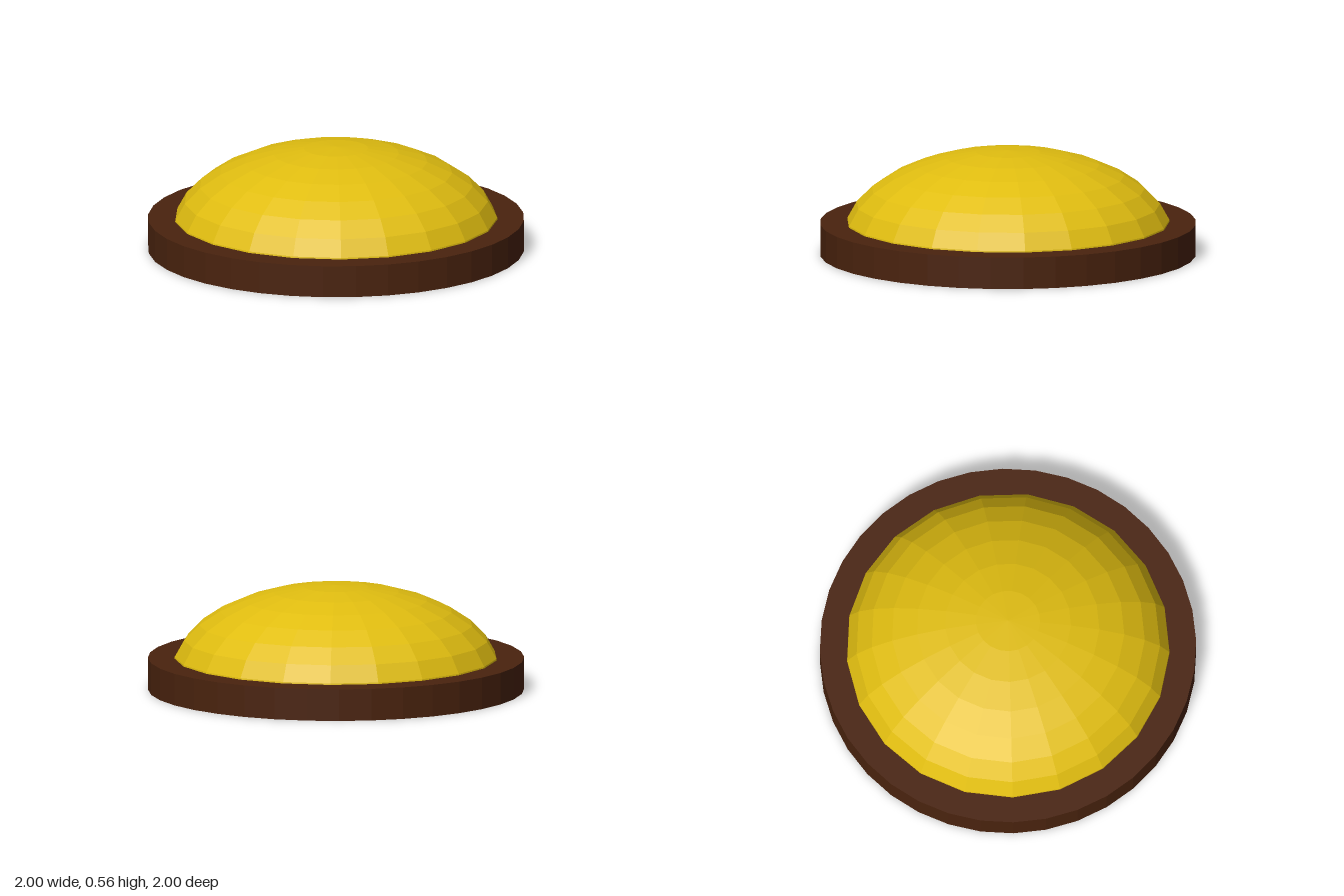
import * as THREE from 'three';

export function createModel() {
  const group = new THREE.Group();
  const brown = new THREE.MeshStandardMaterial({ color: 0x4a230e, flatShading: true });
  brown.name = 'dark brown';
  const yellow = new THREE.MeshStandardMaterial({ color: 0xe0bd10, flatShading: true });
  yellow.name = 'golden yellow';

  // Round base plate
  const baseHeight = 0.17;
  const base = new THREE.Mesh(new THREE.CylinderGeometry(1, 1, baseHeight, 36), brown);
  base.name = 'base';
  base.position.y = baseHeight / 2;
  group.add(base);

  // Flattened hemisphere rising from the middle of the base, with a corner at the back
  const dome = new THREE.Mesh(
    new THREE.SphereGeometry(1, 21, 8, -Math.PI / 2, Math.PI * 2, 0, Math.PI / 2),
    yellow
  );
  dome.name = 'dome';
  dome.scale.set(0.875, 0.475, 0.875);
  dome.position.y = baseHeight / 2;
  group.add(dome);

  return group;
}
